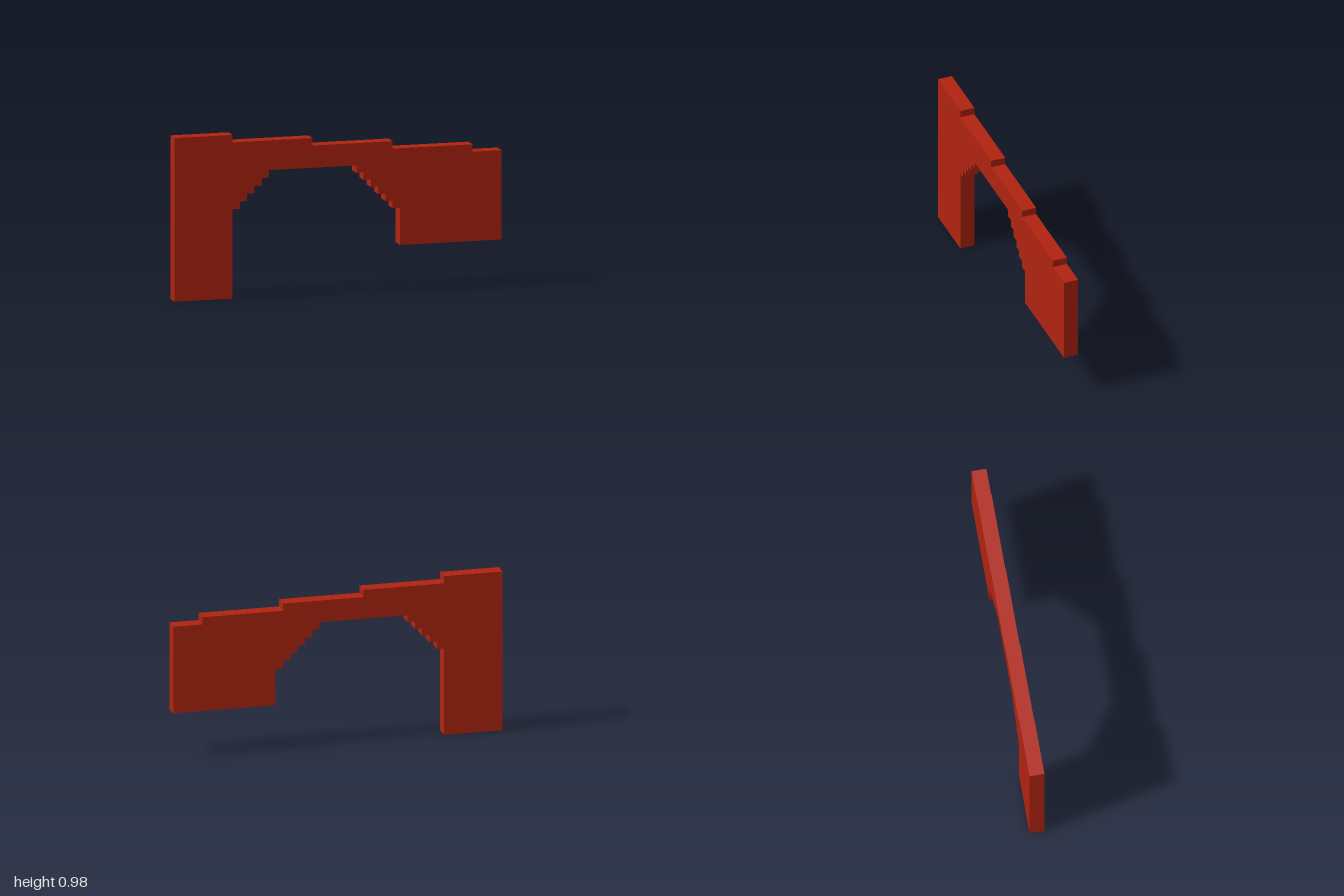
import * as THREE from 'three';

const U = 2 / 45; // one grid unit: the wall is 45 units long, 22 high, 2 thick

export function createModel() {
  const group = new THREE.Group();
  const brickRed = new THREE.MeshStandardMaterial({ color: 0xb02310 });
  brickRed.name = 'brickRed';

  // Outline in grid units, counter-clockwise from the foot of the tall pier
  const pts = [[0, 0], [8, 0]];

  // Corbelled arch: climbs in single steps, then descends
  for (let i = 0; i < 5; i++) pts.push([8 + i, 12 + i], [9 + i, 12 + i]);
  pts.push([13, 17], [25, 17]);
  for (let i = 0; i < 6; i++) pts.push([25 + i, 16 - i], [26 + i, 16 - i]);

  // Shorter pier on the other side
  pts.push([31, 6], [45, 6], [45, 18]);

  // Top edge steps up toward the tall pier
  [41, 30, 19, 8].forEach((x, i) => pts.push([x, 18 + i], [x, 19 + i]));
  pts.push([0, 22]);

  const shape = new THREE.Shape(
    pts.map(([x, y]) => new THREE.Vector2(x * U - 1, y * U))
  );
  const geometry = new THREE.ExtrudeGeometry(shape, { depth: 2 * U, bevelEnabled: false });
  geometry.translate(0, 0, -U);

  const wall = new THREE.Mesh(geometry, brickRed);
  wall.name = 'steppedArchWall';
  group.add(wall);
  return group;
}
